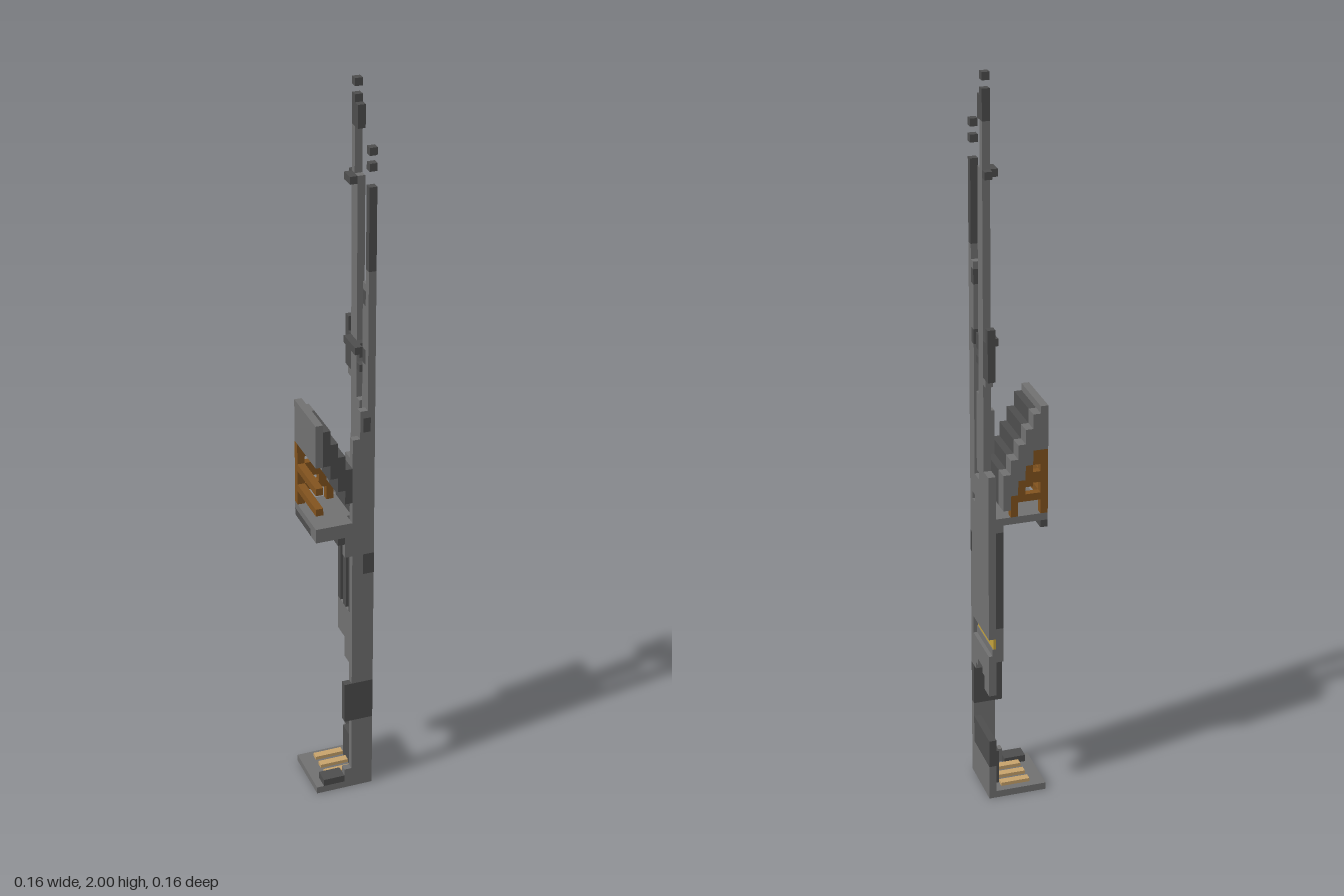
import * as THREE from 'three';

const U = 0.02; // one block
const mat = (name, color) => Object.assign(new THREE.MeshStandardMaterial({ color }), { name });

export function createModel() {
  const root = new THREE.Group();
  root.name = 'tower';
  const gray = mat('midGray', 0x727272);
  const dark = mat('darkGray', 0x4e4e4e);
  const gold = mat('gold', 0xc4a23c);
  const brown = mat('brown', 0x83541f);
  const tan = mat('tan', 0xc9a46c);

  // Box between block coordinates: x and z run -4..4, y runs 0..100
  const box = (name, m, x0, x1, y0, y1, z0, z1) => {
    const mesh = new THREE.Mesh(new THREE.BoxGeometry((x1 - x0) * U, (y1 - y0) * U, (z1 - z0) * U), m);
    mesh.position.set((x0 + x1) / 2 * U, (y0 + y1) / 2 * U, (z0 + z1) / 2 * U);
    mesh.name = name;
    root.add(mesh);
  };

  // Base: floor, steps and tan floor fittings
  box('floor', gray, -4, 4, 0, 1, -4, 4);
  box('floorStep', dark, -3, 0, 1, 2, 2, 4);
  box('floorStep', gray, 0, 1, 1, 3, 3, 4);
  for (const z of [-3, -1, 1]) box('floorFitting', tan, -2, 2, 1, 1.5, z, z + 1);
  box('baseWall', gray, 3, 4, 1, 5, -4, 3);
  box('baseWallTop', dark, 3, 4, 5, 9, -4, 3);
  box('baseBracket', dark, 2, 3, 1, 6, -2, 1);

  // Front post with dark collar and patch
  box('frontPost', gray, 1, 4, 1, 11, 3, 4);
  box('postCollar', dark, 0, 4, 11, 17, 3, 4);
  box('frontPost', gray, 1, 4, 17, 54, 3, 4);
  box('frontPost', gray, 2, 4, 54, 58, 3, 4);
  box('postPatch', dark, 2.5, 4.03, 34, 37, 3.5, 4.03);
  box('frontPost', gray, 1, 2, 54, 54.1, 3, 4);

  // Side wall, arched underneath
  const arch = [16, 16, 18, 19, 19, 18, 17];
  arch.forEach((y, i) => box('archStep', gray, 3, 4, y, 22, i - 4, i - 3));
  box('wallGroove', gray, 2, 3, 21, 26, -4, 3);
  box('wallLip', gray, 3, 3.5, 22, 23, -4, 3);
  box('goldStrip', gold, 3, 3.4, 23, 24.5, -4, 3);
  box('sideWall', gray, 3, 4, 24.5, 42, -4, 3);
  box('sideWall', gray, 3, 4, 42, 43, -4, 2);
  box('sideWall', gray, 3, 4, 43, 46, -4, 3);
  box('sideWall', gray, 3, 4, 46, 48, -4, 0);
  box('sideWall', gray, 3, 4, 46, 50, 2, 3);

  // Inner panel ribs
  for (const z of [-4, -2, 0, 2]) box('innerRib', dark, 2, 3, 26, 40, z, z + 1);
  box('innerRail', gray, 2, 3, 39, 41, -4, 3);

  // Upper front wall and cabin shelf
  box('upperFrontWall', gray, 1, 2, 38, 54, 3, 4);
  box('upperFrontWall', gray, 2, 4, 50, 58, 3, 4);
  box('wallPatch', dark, 2.4, 3.4, 55, 57, 3.9, 4.03);
  box('shelfBracket', gray, 0, 1, 37, 40, 3, 4);
  box('shelfBracket', dark, -1, 1, 39, 40, 2, 4);
  box('shelf', gray, -4, 1, 40, 42, 2, 4);
  box('shelf', gray, -4, 3, 41, 42, -4, 2);
  box('shelfCorner', dark, -4, -3, 40, 41, -4, 2);

  // Stepped cabin roof, light at the rear and dark in front
  const tops = [57, 56, 54, 52, 50, 48];
  tops.forEach((top, i) => {
    const x = i - 4, low = i === 0 ? 51 : tops[i] - 5;
    box('roofStep', gray, x, x + 1, low, top, -4, -2);
    box('roofStep', i === 0 ? gray : dark, x, x + 1, low, top, -2, i > 4 ? 3 : 4);
  });

  // Brown triangular window frame and long rails
  box('framePost', brown, -4, -3, 42, 51, -4, -3);
  box('frameSill', brown, -4, 0, 44, 45, -4, -3);
  box('frameBar', brown, -3, -1, 46.5, 48, -4, -3);
  box('frameTop', brown, -3, -2, 49, 51, -4, -3);
  box('frameSlope', brown, -2, -1, 46, 49, -4, -3);
  box('frameSlope', brown, -1, 0, 45, 47, -4, -3);
  box('frameSlope', brown, 0, 1, 42, 45, -4, -3);
  for (const y of [44, 47]) box('windowRail', brown, -4, -3, y, y + 1, -3, 4);

  // Tall front mast with loose tip blocks
  box('frontMast', gray, 3, 4, 58, 77, 3, 4);
  box('frontMastTop', dark, 3, 4, 77, 88, 3, 4);
  for (const y of [90, 92]) box('mastTip', dark, 3, 4, y, y + 1, 3, 4);
  const shortMast = [[50, 64, gray], [64, 66, dark], [66, 72, gray], [72, 74, dark], [74, 75, gray]];
  for (const [a, b, m] of shortMast) box('shortMast', m, 3, 4, a, b, 2, 3);

  // Main rear mast with antenna, collars and tip
  box('mainMast', gray, 3, 4, 48, 88, -2, 0);
  box('mainMastFoot', gray, 3, 4, 47, 58, 0, 1);
  box('antenna', gray, 3, 4, 88, 94, -2, -1);
  box('antennaTop', dark, 3, 4, 94, 98, -2, -1);
  box('antennaBox', dark, 3, 4, 94, 97, -1, 0);
  box('antennaTip', dark, 3, 4, 99, 100, -2, -1);
  box('mastCollar', dark, 2, 3, 87, 88, -2, 0);
  box('mastCollar', dark, 3, 4, 87, 88, -3, -2);
  box('mastCollar', dark, 2, 3, 65, 66, -2, 2);
  box('mastLink', dark, 3, 4, 64, 66, 0, 1);
  box('mastLink', dark, 3, 4, 62, 63, 0, 1);

  // Equipment box behind the mast
  box('rearBox', dark, 3, 4, 61, 66, -3, -2);
  box('rearBox', dark, 3, 4, 61, 68, -4, -3);
  box('rearBoxFoot', gray, 3, 4, 60, 61, -3, -2);
  return root;
}
